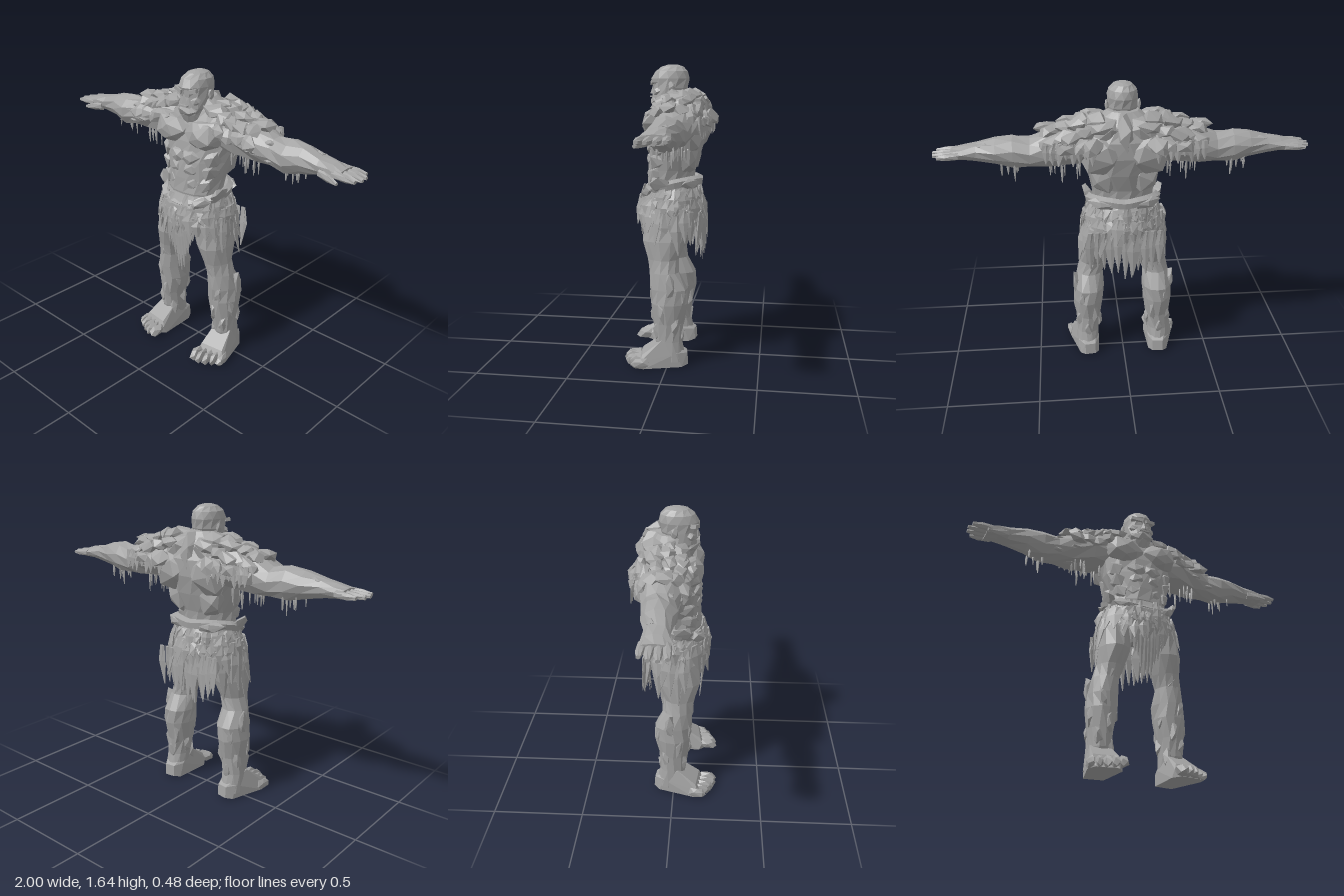
import * as THREE from 'three';
import { mergeGeometries } from 'three/addons/utils/BufferGeometryUtils.js';
import { ConvexGeometry } from 'three/addons/geometries/ConvexGeometry.js';

const { sin, cos, PI, abs } = Math;

export function createModel() {
  const root = new THREE.Group();
  const stone = new THREE.MeshStandardMaterial({ color: 0xa3a3a3 });
  stone.name = 'grey stone';

  let seed = 7;
  const rnd = (a, b) => {
    seed = (seed * 16807) % 2147483647;
    return a + (b - a) * (seed / 2147483647);
  };

  // Flat facets: unshared corners, position and normal only
  const facet = (g) => {
    const f = g.index ? g.toNonIndexed() : g;
    f.deleteAttribute('uv');
    f.computeVertexNormals();
    return f;
  };
  // Flip across x = 0 and swap corners so faces still point outward
  const mirror = (g) => {
    const m = g.clone(), p = m.attributes.position;
    for (let i = 0; i < p.count; i += 3) {
      const t = [0, 2, 1].map((k) => [-p.getX(i + k), p.getY(i + k), p.getZ(i + k)]);
      t.forEach((v, k) => p.setXYZ(i + k, ...v));
    }
    return facet(m);
  };
  const add = (name, geos) => {
    const mesh = new THREE.Mesh(mergeGeometries(geos.map(facet)), stone);
    mesh.name = name;
    root.add(mesh);
  };
  const addPair = (name, geos) => {
    const g = mergeGeometries(geos.map(facet));
    add('left ' + name, [g]);
    add('right ' + name, [mirror(g)]);
  };

  // Closed body through rings [y, cx, cz, rx, rz], rising in y, roughened a little
  const loft = (rings, n = 10, rough = 0.06) => {
    const pos = [], idx = [];
    rings.forEach(([y, cx, cz, rx, rz], i) => {
      for (let j = 0; j < n; j++) {
        const a = ((j + (i % 2) * 0.3) / n) * PI * 2, k = 1 + rnd(-rough, rough);
        pos.push(cx + rx * k * cos(a), y, cz + rz * k * sin(a));
      }
    });
    for (let i = 0; i < rings.length - 1; i++)
      for (let j = 0; j < n; j++) {
        const a = i * n + j, b = i * n + ((j + 1) % n), c = a + n, d = b + n;
        idx.push(a, c, b, b, c, d);
      }
    const top = (rings.length - 1) * n;
    for (let j = 1; j < n - 1; j++) idx.push(0, j, j + 1, top, top + j + 1, top + j);
    const g = new THREE.BufferGeometry();
    g.setAttribute('position', new THREE.Float32BufferAttribute(pos, 3));
    g.setIndex(idx);
    return g;
  };

  // Angular boulder: hull of points scattered on an ellipsoid
  const rock = (x, y, z, rx, ry, rz, n = 14, turn = [0, 0, 0]) => {
    const pts = [];
    for (let i = 0; i < n; i++) {
      const h = 1 - (2 * (i + 0.5)) / n, a = i * 2.4 + rnd(-0.3, 0.3), r = Math.sqrt(1 - h * h);
      const k = rnd(0.88, 1.08);
      pts.push(new THREE.Vector3(rx * r * cos(a) * k, ry * h * k, rz * r * sin(a) * k));
    }
    return new ConvexGeometry(pts).rotateX(turn[0]).rotateY(turn[1]).rotateZ(turn[2]).translate(x, y, z);
  };

  // Hanging leaf-shaped strip: widest near the top, leaning out, facing angle a
  const strip = (x, y, z, len, w, a = 0, lean = 0, flat = 0.35) =>
    loft([[-len, 0, 0, 0.003, 0.002], [-len * 0.4, rnd(-0.2, 0.2) * w, 0, w, w * flat], [0, 0, 0, w * 0.6, w * flat * 0.6]], 5, 0.2)
      .rotateX(-lean).rotateY(a).translate(x, y, z);

  // Torso from front and back depths
  const trunk = [
    [0.88, 0.16, 0.12, -0.1], [1.0, 0.165, 0.15, -0.11], [1.08, 0.172, 0.143, -0.12],
    [1.18, 0.205, 0.135, -0.155], [1.28, 0.235, 0.12, -0.18], [1.37, 0.23, 0.095, -0.18],
    [1.45, 0.165, 0.07, -0.15], [1.51, 0.085, 0.05, -0.1],
  ].map(([y, rx, f, b]) => [y, 0, (f + b) / 2, rx, (f - b) / 2]);
  add('torso', [loft(trunk, 14, 0.03)]);
  addPair('chest muscle', [rock(0.108, 1.325, 0.075, 0.125, 0.085, 0.078, 26, [0.1, 0, 0.12])]);
  const belly = [];
  for (const [y, w] of [[1.2, 0.065], [1.13, 0.06], [1.05, 0.06]])
    belly.push(rock(0.05, y, 0.112, w, 0.045, 0.034, 16, [0, 0.15, 0.2]));
  for (let i = 0; i < 3; i++) // ribs down the flank
    belly.push(rock(0.152 - i * 0.012, 1.2 - i * 0.07, 0.03 + i * 0.01, 0.045, 0.065, 0.085, 14, [0, 0, -0.3]));
  addPair('belly muscles', belly);
  addPair('back muscles', [
    rock(0.125, 1.3, -0.11, 0.12, 0.13, 0.098, 24, [0, 0.1, -0.2]),
    rock(0.105, 1.16, -0.085, 0.09, 0.11, 0.065, 18),
    rock(0.1, 1.42, -0.08, 0.11, 0.075, 0.1, 18, [0, 0, -0.4]),
  ]);
  add('neck ridge', [rock(0, 1.4, -0.11, 0.065, 0.14, 0.085, 18, [0.2, 0, 0])]);

  // Head
  add('head', [loft([
    [1.37, 0, 0.01, 0.075, 0.075], [1.425, 0, 0.045, 0.068, 0.07], [1.46, 0, 0.04, 0.08, 0.083],
    [1.52, 0, 0.018, 0.082, 0.097], [1.57, 0, 0.018, 0.083, 0.107], [1.61, 0, 0.012, 0.074, 0.092],
    [1.635, 0, 0.008, 0.05, 0.062], [1.645, 0, 0.005, 0.02, 0.03],
  ], 12, 0.02)]);
  add('jaw', [rock(0, 1.448, 0.082, 0.072, 0.042, 0.052, 18)]);
  add('mouth', [new THREE.BoxGeometry(0.06, 0.009, 0.02).translate(0, 1.475, 0.118)]);
  add('nose', [new THREE.ConeGeometry(0.022, 0.055, 4).scale(1, 1, 0.8).translate(0, 1.517, 0.114)]);
  addPair('face', [
    new THREE.BoxGeometry(0.068, 0.02, 0.03).rotateZ(0.2).rotateY(0.3).translate(0.04, 1.553, 0.103),
    rock(0.05, 1.502, 0.08, 0.03, 0.025, 0.03),
    rock(0.085, 1.525, 0.0, 0.013, 0.032, 0.022),
  ]);

  // Arm lofted upward, then laid along x
  const armRings = [
    [0.15, 1.34, -0.05, 0.1, 0.12], [0.28, 1.345, -0.05, 0.115, 0.125], [0.4, 1.32, -0.05, 0.1, 0.105],
    [0.49, 1.3, -0.05, 0.08, 0.085], [0.58, 1.3, -0.045, 0.087, 0.088], [0.67, 1.307, -0.045, 0.07, 0.078],
    [0.77, 1.305, -0.04, 0.047, 0.062], [0.84, 1.303, -0.04, 0.037, 0.07], [0.9, 1.298, -0.042, 0.026, 0.078],
  ].map(([x, y, z, ry, rz]) => [x, -y, z, ry, rz]);
  addPair('arm', [loft(armRings, 10, 0.07).rotateZ(-PI / 2)]);
  const plates = [];
  for (let i = 0; i < 18; i++) { // long stone plates set into the arm
    const t = i / 18, a = i * 2.4, r = 0.08 - 0.045 * t;
    plates.push(rock(0.38 + 0.4 * t, 1.303 + r * 0.85 * sin(a), -0.045 + r * cos(a),
      rnd(0.06, 0.1), 0.018, 0.024, 10, [0, rnd(-0.2, 0.2), rnd(-0.2, 0.2)]));
  }
  addPair('arm plates', plates);
  const fingers = [];
  [0.985, 1.0, 0.995, 0.97].forEach((tip, i) => {
    const z = 0.012 - i * 0.036, len = tip - 0.86;
    fingers.push(loft([[0, 0, 0, 0.02, 0.021], [len * 0.6, 0, 0, 0.018, 0.02], [len, 0, 0, 0.01, 0.011]], 6)
      .rotateZ(-PI / 2 - 0.04).rotateY((i - 1.5) * 0.05).translate(0.86, 1.3, z));
  });
  fingers.push(loft([[0, 0, 0, 0.026, 0.024], [0.06, 0, 0, 0.021, 0.018], [0.12, 0, 0, 0.009, 0.009]], 6)
    .rotateZ(-PI / 2 - 0.15).rotateY(-0.3).translate(0.79, 1.288, 0.008));
  addPair('fingers', fingers);

  // Icicles in three clusters under the arm
  const ice = [];
  for (const [x, n] of [[0.28, 4], [0.38, 6], [0.6, 7]])
    for (let i = 0; i < n; i++)
      ice.push(strip(x + rnd(-0.06, 0.06), 1.25, -0.05 + rnd(-0.06, 0.06), rnd(0.05, 0.11), 0.008, rnd(0, 3), 0, 0.7));
  addPair('icicles', ice);

  // Boulder mantle: long slabs sloping down over the shoulder
  const mantle = [];
  for (let i = 0; i < 5; i++)
    for (let j = 0; j < 6; j++) {
      const x = 0.15 + i * 0.06 + rnd(-0.02, 0.02), a = -1.3 + j * 0.55 + rnd(-0.12, 0.12);
      const k = 1 - 0.06 * i;
      mantle.push(rock(x, 1.35 - i * 0.008 + 0.14 * k * cos(a), -0.05 - 0.145 * k * sin(a),
        rnd(0.055, 0.085), rnd(0.025, 0.038), rnd(0.035, 0.055), 11, [a * -0.8, rnd(-0.6, 0.6), rnd(-0.6, 0.05)]));
    }
  for (let j = 0; j < 8; j++) // ragged ends hanging behind
    mantle.push(strip(0.17 + j * 0.034, 1.38, -0.185, rnd(0.08, 0.13), 0.025, PI + rnd(-0.4, 0.4), 0.1));
  addPair('shoulder boulders', mantle);

  // Legs
  addPair('leg', [loft([
    [0.04, 0.215, -0.03, 0.062, 0.07], [0.15, 0.212, -0.005, 0.062, 0.076], [0.25, 0.206, 0, 0.07, 0.085],
    [0.36, 0.203, -0.005, 0.087, 0.103], [0.44, 0.198, -0.003, 0.085, 0.105], [0.53, 0.19, 0.025, 0.073, 0.08],
    [0.6, 0.172, 0.033, 0.078, 0.085], [0.7, 0.152, 0.028, 0.093, 0.122], [0.82, 0.135, 0.02, 0.1, 0.135],
    [0.95, 0.1, 0.01, 0.09, 0.12],
  ], 12, 0.045)]);
  const legPlates = [rock(0.187, 0.555, 0.075, 0.045, 0.07, 0.035, 14)];
  for (let i = 0; i < 14; i++) { // long plates set into shin and calf
    const y = 0.12 + 0.026 * i, a = i * 2.4, r = 0.046 + 0.022 * sin((y - 0.12) * 5);
    legPlates.push(rock(0.205 + r * cos(a), y, r * 1.25 * sin(a), 0.026, rnd(0.06, 0.09), 0.028, 11, [0, 0, rnd(-0.15, 0.15)]));
  }
  addPair('leg plates', legPlates);

  // Feet
  const solePts = [];
  for (const s of [-1, 1])
    solePts.push(...[[0.03, 0.02, -0.11], [0.055, 0.01, -0.075], [0.03, 0.085, -0.105], [0.06, 0.09, -0.05],
      [0.055, 0.16, 0.035], [0.062, 0.008, 0], [0.09, 0.01, 0.13], [0.085, 0.05, 0.15], [0.07, 0.085, 0.14],
      [0.06, 0.012, 0.18]].map(([x, y, z]) => new THREE.Vector3(s * x, y, z)));
  const foot = [new ConvexGeometry(solePts)];
  for (let i = 0; i < 5; i++)
    foot.push(rock(-0.072 + i * 0.038, 0.04, 0.195 - i * i * 0.003, i ? 0.022 : 0.03, 0.035, 0.06, 14, [0.2, 0, 0]));
  addPair('foot', foot.map((g) => g.rotateY(0.12).translate(0.214, 0, 0)));

  // Skirt: inner cloth, shaggy layers, long front and back tails
  add('skirt cloth', [loft([
    [0.85, 0, 0.005, 0.225, 0.172], [0.93, 0, 0.01, 0.21, 0.168], [0.99, 0, 0.015, 0.185, 0.14],
  ], 18, 0.04)]);
  const rags = [];
  [[0.98, 0.195, 0.155, 24], [0.92, 0.217, 0.177, 28], [0.87, 0.228, 0.178, 30]].forEach(([y, rx, rz, n], k) => {
    for (let i = 0; i < n; i++) {
      const a = ((i + rnd(-0.3, 0.3)) / n) * PI * 2, out = abs(sin(a));
      const len = rnd(0.1, 0.15) + (k === 2 && cos(a) < 0.3 ? rnd(0, 0.16) : 0);
      rags.push(strip(rx * sin(a), y + rnd(-0.03, 0.02), 0.005 + rz * cos(a), len, rnd(0.026, 0.042), a + rnd(-0.3, 0.3),
        rnd(0.0, 0.28) - 0.1 * k * (1 - out)));
      if (k < 2) rags.push(rock(rx * sin(a), y - 0.04, 0.005 + rz * cos(a), 0.03, 0.05, 0.016, 9, [-0.3, a, rnd(-0.3, 0.3)]));
    }
  });
  for (let i = -5; i <= 5; i++) {
    const d = abs(i) / 5;
    rags.push(strip(i * 0.021, 0.88, 0.17, 0.39 - 0.24 * d + rnd(-0.03, 0.02), 0.026, i * 0.05, -0.08));
    rags.push(strip(i * 0.038, 0.86, -0.165, 0.31 - 0.1 * d + rnd(-0.06, 0.03), 0.026, PI, rnd(-0.12, 0.04)));
  }
  add('skirt rags', rags);

  // Rolled belt, low at the front and high behind, with hip flaps
  const loop = [];
  for (let i = 0; i < 16; i++) {
    const a = (i / 16) * PI * 2;
    loop.push(new THREE.Vector3(0.185 * sin(a), 0.975 + 0.025 * abs(sin(a)) - 0.037 * cos(a), 0.005 + 0.145 * cos(a)));
  }
  add('belt', [new THREE.TubeGeometry(new THREE.CatmullRomCurve3(loop, true), 32, 0.028, 5, true)]);
  addPair('hip flaps', [
    rock(0.19, 1.005, 0.05, 0.025, 0.06, 0.065, 12, [0, 0, -0.5]),
    rock(0.13, 0.96, 0.125, 0.07, 0.03, 0.03, 12, [0, 0.5, 0.45]),
    rock(0.13, 1.01, -0.11, 0.085, 0.033, 0.035, 12, [0, -0.5, 0.1]),
  ]);

  return root;
}
